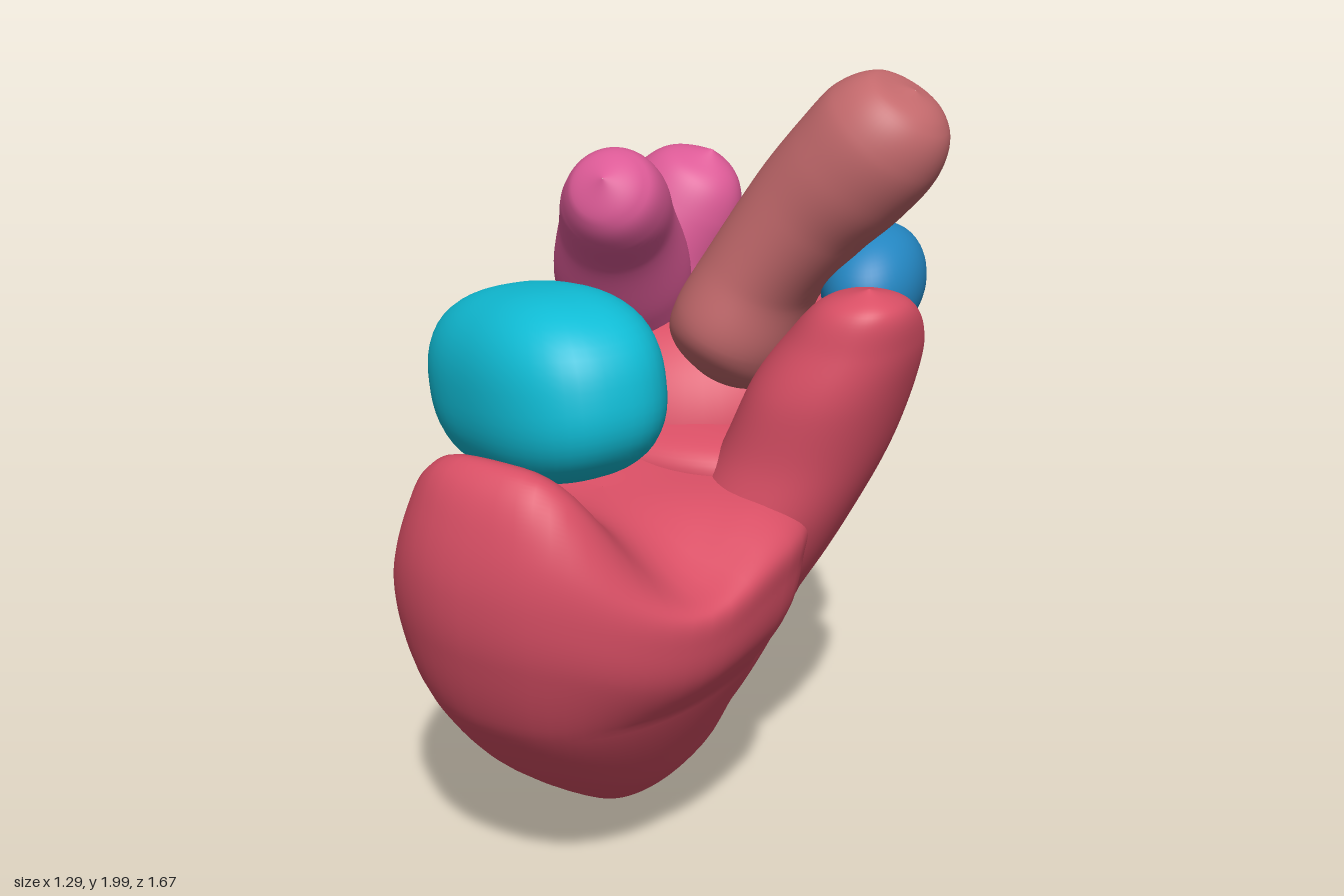
import * as THREE from 'three';

const SIDES = 56;
const STEPS = 10;

// Smooth skin over rings; each row is [x, y, z, rU, rW].
// Level rings lie flat, otherwise they stand square to the path.
function loft(rows, { level = false, power = 2, warp = null } = {}) {
  const path = new THREE.CatmullRomCurve3(rows.map(r => new THREE.Vector3(r[0], r[1], r[2])), false, 'catmullrom', 0.5);
  const size = new THREE.CatmullRomCurve3(rows.map(r => new THREE.Vector3(r[3], r[4] ?? r[3], 0)), false, 'catmullrom', 0.5);
  const count = (rows.length - 1) * STEPS;
  const positions = [], index = [];
  const round = v => Math.sign(v) * Math.abs(v) ** (2 / power);
  for (let j = 0; j <= count; j++) {
    const c = path.getPoint(j / count), r = size.getPoint(j / count);
    const t = level ? new THREE.Vector3(0, 1, 0) : path.getTangent(j / count);
    const u = new THREE.Vector3().crossVectors(t, new THREE.Vector3(0, 0, 1)).normalize();
    const w = new THREE.Vector3().crossVectors(u, t);
    for (let i = 0; i < SIDES; i++) {
      const a = i / SIDES * Math.PI * 2;
      const p = c.clone()
        .addScaledVector(u, Math.max(r.x, 0.001) * round(Math.cos(a)))
        .addScaledVector(w, Math.max(r.y, 0.001) * round(Math.sin(a)));
      if (warp) warp(p);
      positions.push(p.x, p.y, p.z);
      if (j < count) {
        const k = j * SIDES + i, n = j * SIDES + (i + 1) % SIDES;
        index.push(k, k + SIDES, n, n, k + SIDES, n + SIDES);
      }
    }
  }
  const g = new THREE.BufferGeometry();
  g.setAttribute('position', new THREE.Float32BufferAttribute(positions, 3));
  g.setIndex(index);
  g.computeVertexNormals();
  return g;
}

// Converts [y, xMin, xMax, zMin, zMax] into a level ring.
const span = ([y, x0, x1, z0, z1]) => [(x0 + x1) / 2, y, (z0 + z1) / 2, (x1 - x0) / 2, (z1 - z0) / 2];

// Rounded box-like blob.
function blob(rx, ry, rz, power) {
  const g = new THREE.SphereGeometry(1, 48, 32);
  const p = g.attributes.position;
  for (let i = 0; i < p.count; i++) {
    const v = new THREE.Vector3().fromBufferAttribute(p, i);
    const k = (Math.abs(v.x) ** power + Math.abs(v.y) ** power + Math.abs(v.z) ** power) ** (-1 / power);
    p.setXYZ(i, v.x * k * rx, v.y * k * ry, v.z * k * rz);
  }
  g.computeVertexNormals();
  return g;
}

export function createModel() {
  const model = new THREE.Group();
  const paint = color => new THREE.MeshStandardMaterial({ color });
  const red = paint(0xd94f65), cyan = paint(0x10bdd6), blue = paint(0x2385c0);
  const pink = paint(0xdc5a96), salmon = paint(0xc3696c);
  const add = (name, geometry, material, parent = model) => {
    const mesh = new THREE.Mesh(geometry, material);
    mesh.name = name;
    parent.add(mesh);
    return mesh;
  };

  const muscle = new THREE.Group();
  muscle.name = 'heartMuscle';
  model.add(muscle);

  // Back chamber: thick rim around a shallow hollow, lower towards the front and right
  add('backVentricle', loft([
    [0.025, -0.15, -0.15, -0.24, -0.24],
    [0.04, -0.22, -0.08, -0.34, -0.1],
    [0.1, -0.28, -0.03, -0.41, -0.04],
    [0.2, -0.33, 0.05, -0.51, 0.02],
    [0.4, -0.43, 0.14, -0.69, 0.08],
    [0.65, -0.55, 0.23, -0.805, 0.1],
    [0.95, -0.645, 0.3, -0.835, 0.1],
    [1.15, -0.61, 0.31, -0.79, 0.08],
    [1.3, -0.53, 0.25, -0.72, 0.02],
    [1.39, -0.42, 0.14, -0.62, -0.08],
    [1.38, -0.37, 0.06, -0.55, -0.18],
    [1.29, -0.29, -0.04, -0.49, -0.3],
    [1.25, -0.17, -0.17, -0.4, -0.4],
  ].map(span), {
    level: true, power: 2.15,
    warp: p => {
      if (p.y < 0.9) return;
      const drop = 0.35 * Math.max(0, p.z + 0.55) + 0.5 * Math.max(0, -0.3 - p.x);
      p.y -= (p.y - 0.9) * drop;
    },
  }), red, muscle);

  // Front chamber: raised front lip, saddle on the left, narrower towards the front
  const bump = (x, z, cx, cz, rx, rz) => Math.exp(-(((x - cx) / rx) ** 2) - ((z - cz) / rz) ** 2);
  const lipHeight = (x, z) => 1.04
    + 0.21 * Math.exp(-(((x + 0.05) / 0.28) ** 4) - ((z - 0.73) / 0.17) ** 2)
    + 0.07 * bump(x, z, -0.22, 0.25, 0.22, 0.28)
    - 0.11 * bump(x, z, 0.32, 0.48, 0.17, 0.18);
  add('frontVentricle', loft([
    [0, -0.16, -0.16, 0, 0],
    [0.025, -0.2, -0.11, -0.1, 0.07],
    [0.09, -0.27, -0.01, -0.2, 0.18],
    [0.25, -0.33, 0.13, -0.2, 0.4],
    [0.4, -0.38, 0.22, -0.19, 0.57],
    [0.6, -0.42, 0.33, -0.18, 0.73],
    [0.8, -0.44, 0.42, -0.18, 0.81],
    [0.97, -0.44, 0.45, -0.18, 0.835],
    [1.1, -0.41, 0.45, -0.2, 0.82],
    [1.18, -0.35, 0.37, -0.15, 0.77],
    [1.2, -0.22, 0.25, 0, 0.66],
    [1.18, 0, 0, 0.32, 0.32],
  ].map(span), {
    level: true, power: 2.35,
    warp: p => {
      if (p.x > 0 && p.z > 0.2) p.x *= 1 - 0.33 * (p.z - 0.2);
      if (p.y > 0.6) p.y = 0.6 + (p.y - 0.6) * (lipHeight(p.x, p.z) - 0.6) / 0.6;
    },
  }), red, muscle);

  // Wall that softens the groove between the chambers
  add('septum', loft([
    [0.05, -0.15, -0.15, -0.12, -0.12],
    [0.07, -0.22, -0.07, -0.24, 0.02],
    [0.2, -0.28, 0.07, -0.32, 0.1],
    [0.4, -0.34, 0.15, -0.34, 0.14],
    [0.65, -0.36, 0.245, -0.35, 0.15],
    [0.95, -0.36, 0.34, -0.32, 0.15],
    [1.08, -0.3, 0.3, -0.26, 0.13],
    [1.14, 0, 0, -0.05, -0.05],
  ].map(span), { level: true, power: 2.4 }), red, muscle);

  // Outflow horn flaring into the front chamber
  add('outflowHorn', loft([
    [0.12, 0.5, 0, 0.001, 0.001],
    [0.15, 0.6, 0, 0.12, 0.17],
    [0.205, 0.76, -0.01, 0.17, 0.22],
    [0.275, 0.93, -0.03, 0.19, 0.235],
    [0.35, 1.1, -0.06, 0.19, 0.235],
    [0.415, 1.27, -0.06, 0.18, 0.23],
    [0.47, 1.39, -0.045, 0.15, 0.185],
    [0.51, 1.485, 0, 0.1, 0.11],
    [0.53, 1.53, 0.03, 0.001, 0.001],
  ], { level: true, power: 2.2 }), red, muscle);

  // Front atrium lying diagonally over the front chamber
  const atrium = add('frontAtrium', blob(0.365, 0.225, 0.22, 2.5), cyan);
  atrium.position.set(-0.14, 1.295, 0.34);
  atrium.rotation.set(0, -0.54, 0.2);

  // Valve cap on the outflow horn
  const cap = add('outflowCap', blob(0.12, 0.13, 0.165, 2.1), blue);
  cap.position.set(0.435, 1.465, -0.23);
  cap.rotation.set(0.25, 0.1, 0);

  // Back atrium: a broad body with two horns
  const backAtrium = new THREE.Group();
  backAtrium.name = 'backAtrium';
  model.add(backAtrium);
  add('backAtriumBody', loft([
    [-0.2, 1.14, -0.3, 0.001],
    [-0.2, 1.2, -0.3, 0.15],
    [-0.19, 1.36, -0.29, 0.18],
    [-0.16, 1.48, -0.29, 0.175, 0.165],
    [-0.1, 1.59, -0.3, 0.15, 0.125],
    [-0.06, 1.665, -0.31, 0.1, 0.08],
    [-0.04, 1.71, -0.31, 0.001],
  ]), pink, backAtrium);
  add('backAtriumHorn', loft([
    [-0.24, 1.17, -0.27, 0.001],
    [-0.22, 1.28, -0.22, 0.14],
    [-0.19, 1.43, -0.12, 0.17],
    [-0.13, 1.59, 0.01, 0.14],
    [-0.08, 1.675, 0.11, 0.125],
    [-0.06, 1.725, 0.175, 0.09],
    [-0.05, 1.755, 0.215, 0.001],
  ]), pink, backAtrium);

  // Great artery leaning up to the left
  add('greatArtery', loft([
    [0.06, 1.19, -0.1, 0.001],
    [0.09, 1.25, -0.11, 0.13],
    [0.13, 1.34, -0.12, 0.155, 0.2],
    [0.2, 1.49, -0.13, 0.14, 0.185],
    [0.32, 1.655, -0.12, 0.15, 0.165],
    [0.42, 1.765, -0.11, 0.16, 0.16],
    [0.5, 1.86, -0.11, 0.155, 0.15],
    [0.55, 1.93, -0.11, 0.105, 0.1],
    [0.565, 1.955, -0.11, 0.001],
  ]), salmon);

  return model;
}
